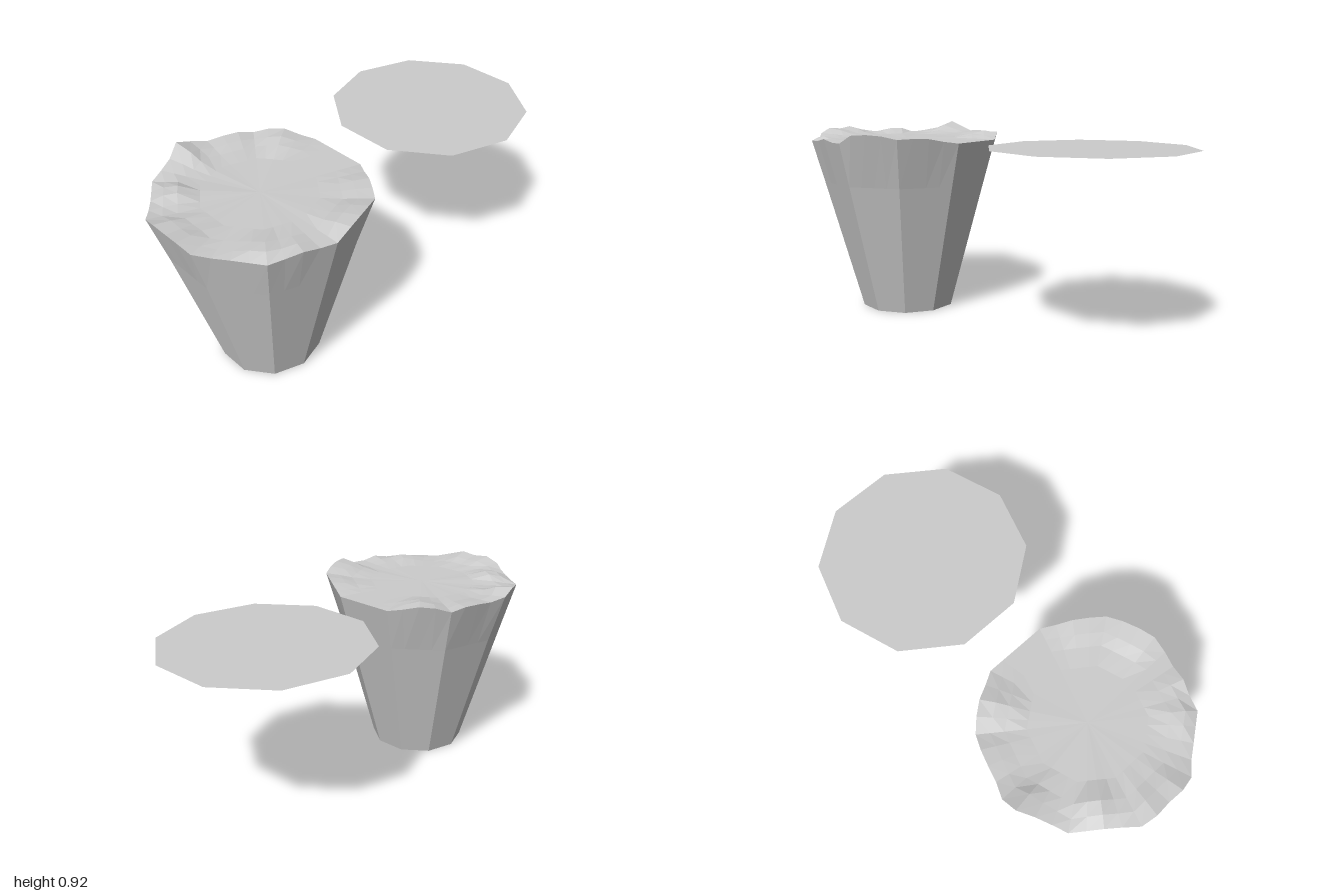
import * as THREE from 'three';

const SIDES = 10, STEPS = 4, N = SIDES * STEPS;
const LEVEL = 0.86, CX = 0.007, R_TOP = 0.473, R_BASE = 0.235;

// Rim heights around the stump, from +x towards the front, four per side
const RIM = [
  0.86, 0.86, 0.873, 0.86,
  0.856, 0.858, 0.86, 0.86,
  0.873, 0.896, 0.89, 0.898,
  0.878, 0.866, 0.86, 0.857,
  0.857, 0.87, 0.885, 0.92,
  0.89, 0.875, 0.88, 0.88,
  0.865, 0.885, 0.89, 0.872,
  0.86, 0.86, 0.86, 0.86,
  0.86, 0.87, 0.885, 0.888,
  0.885, 0.9, 0.905, 0.9,
];

// Point i on a unit decagon, with its straight sides subdivided
function decagon(i) {
  const side = Math.floor(i / STEPS), t = (i % STEPS) / STEPS;
  const a = side * Math.PI * 2 / SIDES, b = (side + 1) * Math.PI * 2 / SIDES;
  return [
    Math.cos(a) * (1 - t) + Math.cos(b) * t,
    Math.sin(a) * (1 - t) + Math.sin(b) * t,
  ];
}

// Joins rings of N points, each given by a rule, into one surface
function loft(rings) {
  const pos = [], index = [];
  for (const ring of rings) for (let i = 0; i < N; i++) pos.push(...ring(i));
  for (let r = 0; r < rings.length - 1; r++) {
    for (let i = 0; i < N; i++) {
      const a = r * N + i, b = r * N + (i + 1) % N, c = a + N, d = b + N;
      index.push(a, c, b, b, c, d);
    }
  }
  const g = new THREE.BufferGeometry();
  g.setAttribute('position', new THREE.Float32BufferAttribute(pos, 3));
  g.setIndex(index);
  const flat = g.toNonIndexed();
  flat.computeVertexNormals();
  return flat;
}

// Raised lumps on the top, just inside the rim: x, z, height
const LUMPS = [[-0.23, 0.27, 0.035], [0.31, 0.24, 0.022], [-0.2, -0.3, 0.015]];
const lump = (x, z) => LUMPS.reduce((sum, [lx, lz, h]) =>
  sum + h * Math.exp(-((x - lx) ** 2 + (z - lz) ** 2) / 0.006), 0);

// Plain straight ring
const plainRing = (r, y) => (i) => {
  const [x, z] = decagon(i);
  return [x * r, y, z * r];
};

// Uneven edge: raised points also lean outwards
const rimRing = (i) => {
  const [x, z] = decagon(i);
  const r = R_TOP + Math.max(0, RIM[i] - LEVEL) * 0.6;
  return [x * r, RIM[i], z * r];
};

// Top rings fade from the uneven edge to the flat middle
const topRing = (scale, fade) => (i) => {
  const x = decagon(i)[0] * R_TOP * scale, z = decagon(i)[1] * R_TOP * scale;
  return [x, LEVEL + (RIM[i] - LEVEL) * fade + lump(x, z), z];
};

export function createModel() {
  const model = new THREE.Group();
  const material = new THREE.MeshStandardMaterial({
    color: 0xcccccc, flatShading: true, side: THREE.DoubleSide,
  });
  const add = (name, geometry, x, y, z) => {
    const mesh = new THREE.Mesh(geometry, material);
    mesh.name = name;
    mesh.position.set(x, y, z);
    model.add(mesh);
    return mesh;
  };

  // Tapered wall, open underneath
  const rMid = R_BASE + (R_TOP - R_BASE) * 0.65 / LEVEL;
  add('taperedWall', loft([
    plainRing(R_BASE, 0), plainRing(rMid, 0.65), rimRing,
  ]), CX, 0, 0.52);

  // Rough top surface
  add('roughTop', loft([
    rimRing, topRing(0.88, 0.7), topRing(0.75, 0.3), topRing(0.55, 0.05), topRing(0, 0),
  ]), CX, 0, 0.52);

  // Loose flat ten-sided plate behind
  const plate = add('flatPlate', new THREE.CircleGeometry(0.475, SIDES), CX, LEVEL, -0.55);
  plate.rotation.x = -Math.PI / 2;

  return model;
}
